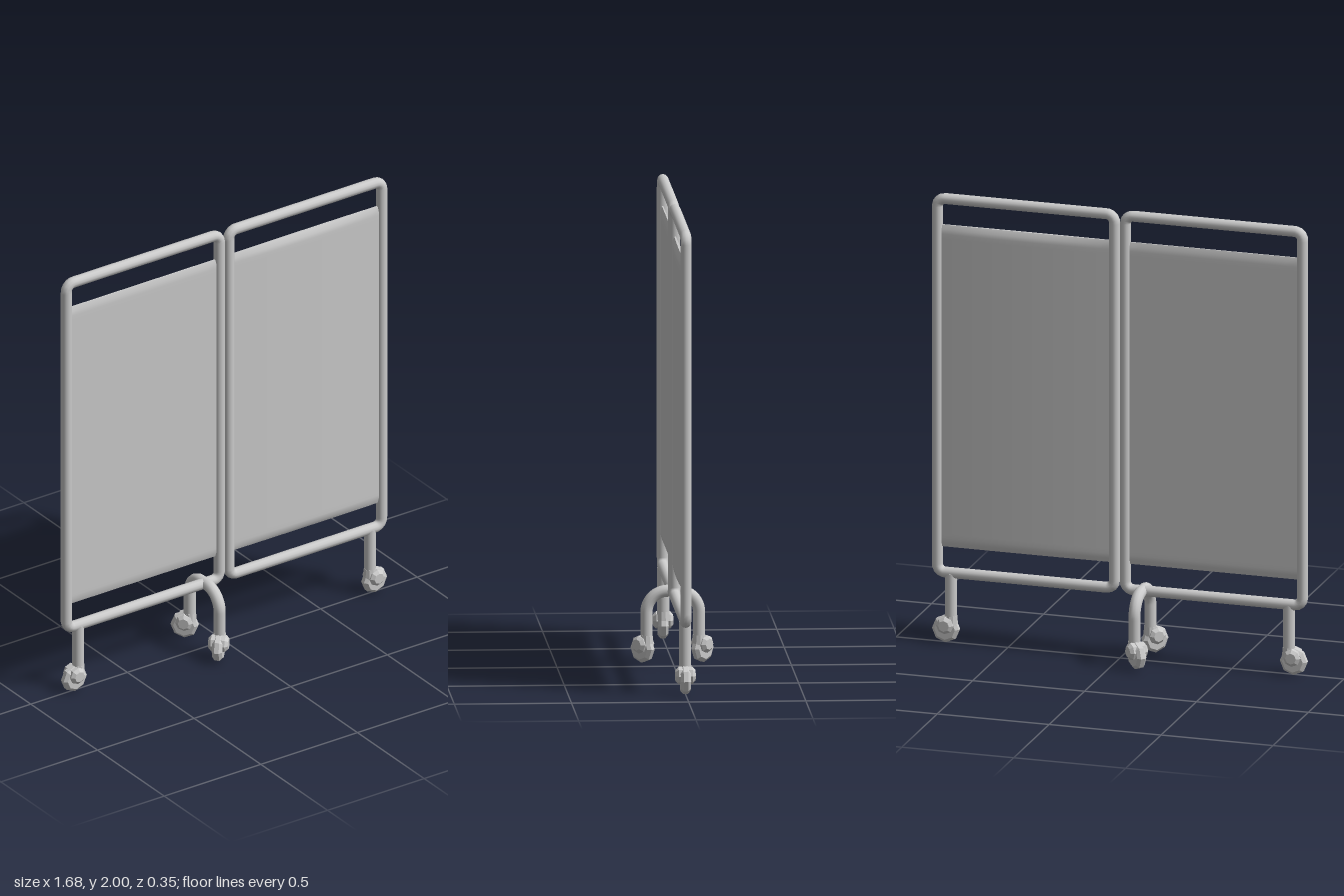
import * as THREE from 'three';

const grey = new THREE.MeshStandardMaterial({ color: 0xcccccc });
const faceted = new THREE.MeshStandardMaterial({ color: 0xcccccc, flatShading: true });
const V = (x, y, z) => new THREE.Vector3(x, y, z);

function add(parent, name, geometry, material = grey) {
  const mesh = new THREE.Mesh(geometry, material);
  mesh.name = name;
  parent.add(mesh);
  return mesh;
}

// Path through corner points, each corner rounded by r
function roundedPath(points, r, closed) {
  const path = new THREE.CurvePath();
  const n = points.length;
  const toward = (a, b) => a.clone().add(b.clone().sub(a).setLength(r));
  let pen = closed ? toward(points[0], points[1]) : points[0];
  const first = pen;
  for (let k = 1; k < (closed ? n + 1 : n - 1); k++) {
    const c = points[k % n];
    const inPt = toward(c, points[(k - 1) % n]);
    const outPt = toward(c, points[(k + 1) % n]);
    path.add(new THREE.LineCurve3(pen, inPt));
    // Circular-looking corner from a cubic curve
    path.add(new THREE.CubicBezierCurve3(inPt, inPt.clone().lerp(c, 0.55), outPt.clone().lerp(c, 0.55), outPt));
    pen = outPt;
  }
  if (!closed) path.add(new THREE.LineCurve3(pen, points[n - 1]));
  else if (pen.distanceTo(first) > 1e-4) path.add(new THREE.LineCurve3(pen, first));
  path.arcLengthDivisions = 800;
  return path;
}

// Cloth sheet: thin slab with narrowed hems and an optional slight bulge
function clothGeometry(bulge) {
  const w = 0.75, h = 1.435;
  const g = new THREE.BoxGeometry(w, h, 0.02, 16, 72, 2);
  const p = g.attributes.position;
  for (let i = 0; i < p.count; i++) {
    const u = p.getX(i) / (w / 2);
    const edge = h / 2 - Math.abs(p.getY(i));
    const hem = 0.3 + 0.7 * Math.sqrt(Math.min(1, edge / 0.025));
    p.setZ(i, p.getZ(i) * hem * (1 + bulge * (1 - u * u)));
  }
  g.computeVertexNormals();
  return g;
}

// Caster: tyre, hooded hub and stem cap; it trails along local +x from the leg
function caster(name, x, z, heading) {
  const group = new THREE.Group();
  group.name = name;
  const profile = (pts) => new THREE.LatheGeometry(pts.map(([r, y]) => new THREE.Vector2(r, y)), 8).rotateX(Math.PI / 2);
  const tyre = add(group, 'wheel', profile([
    [0, -0.022], [0.046, -0.022], [0.06, -0.01], [0.06, 0.01], [0.046, 0.022], [0, 0.022],
  ]), faceted);
  tyre.position.set(0.022, 0.06, 0);
  const hub = add(group, 'hub', profile([
    [0, -0.043], [0.024, -0.043], [0.038, -0.03], [0.038, 0.03], [0.024, 0.043], [0, 0.043],
  ]), faceted);
  hub.position.set(0.02, 0.08, 0);
  const cap = add(group, 'stemCap', new THREE.CylinderGeometry(0.027, 0.03, 0.04, 10), faceted);
  cap.position.y = 0.1;
  group.position.set(x, 0, z);
  group.rotation.y = heading;
  return group;
}

export function createModel() {
  const model = new THREE.Group();
  model.name = 'foldingScreen';

  for (const side of [-1, 1]) {
    const label = side > 0 ? 'left' : 'right';

    // Tubular panel frame
    const a = 0.024, b = 0.816, low = 0.31, high = 1.976;
    const path = roundedPath([V(a, low, 0), V(b, low, 0), V(b, high, 0), V(a, high, 0)], 0.035, true);
    const frame = add(model, label + 'Frame', new THREE.TubeGeometry(path, 360, 0.024, 12, true));
    if (side < 0) frame.position.x = -(a + b);

    // Cloth
    const cloth = add(model, label + 'Cloth', clothGeometry(side > 0 ? 0.8 : 0));
    cloth.position.set(side * 0.42, 1.1425, 0);

    // Outer leg with its caster
    const leg = add(model, label + 'Leg', new THREE.CylinderGeometry(0.026, 0.026, 0.21, 12));
    leg.position.set(side * 0.755, 0.205, 0);
    model.add(caster(label + 'Caster', side * 0.755, 0, side > 0 ? 0 : Math.PI));

    // Trailing casters under the middle legs
    const heading = side > 0 ? Math.PI * 1.25 : Math.PI * 0.75;
    model.add(caster(side > 0 ? 'frontCaster' : 'backCaster', -0.1, side * 0.112, heading));
  }

  // Arched middle leg straddling the frame
  const arch = roundedPath([V(-0.1, 0.1, 0.112), V(-0.1, 0.31, 0.112), V(-0.1, 0.31, -0.112), V(-0.1, 0.1, -0.112)], 0.09, false);
  add(model, 'middleLeg', new THREE.TubeGeometry(arch, 60, 0.026, 12));

  return model;
}
